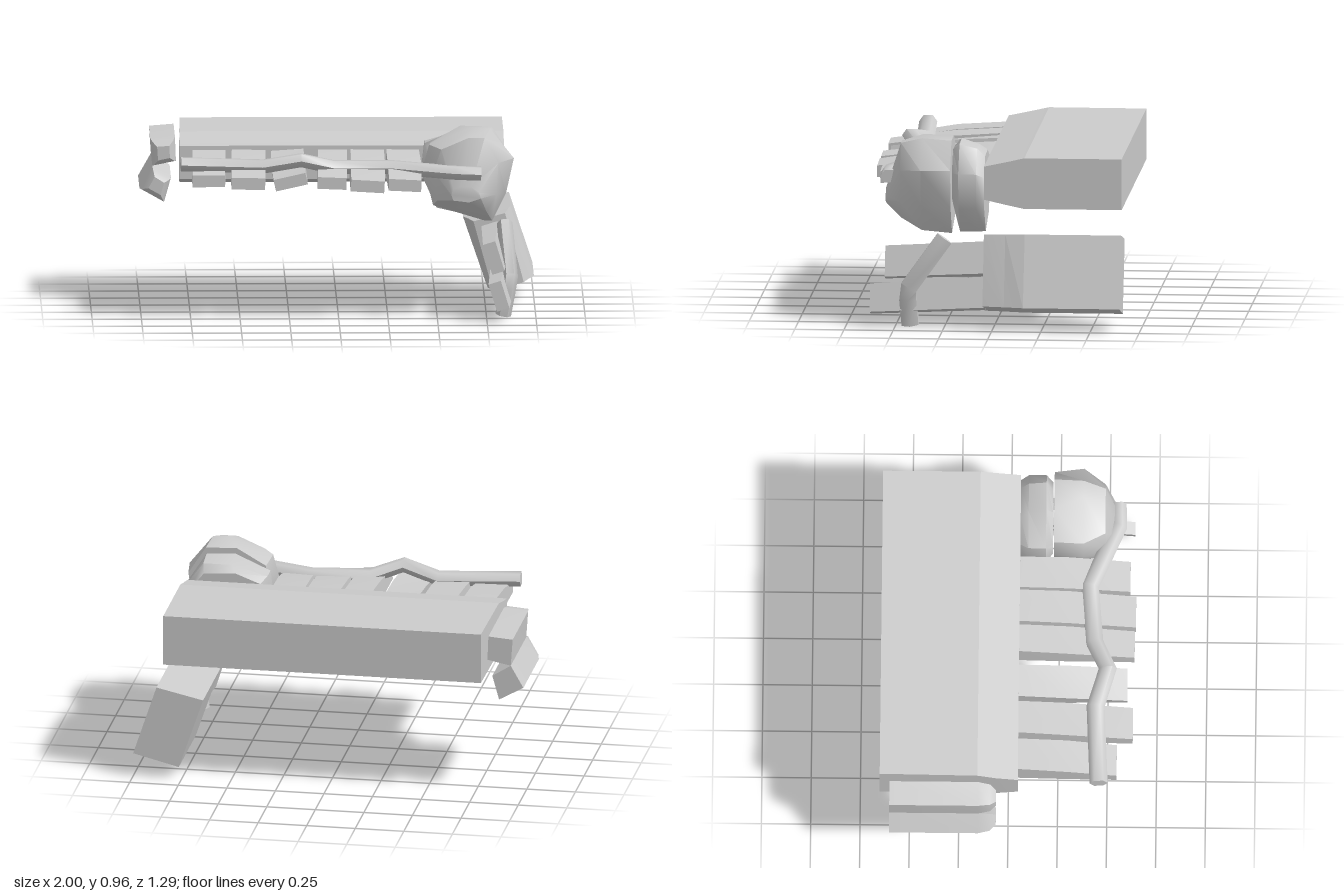
import * as THREE from 'three';
import { toCreasedNormals } from 'three/addons/utils/BufferGeometryUtils.js';

const V = (x, y, z) => new THREE.Vector3(x, y, z);
const material = new THREE.MeshStandardMaterial({ color: 0xcccccc });

// Closed skin over matching rings; rings run counterclockwise about the direction of travel
function loft(rings, crease) {
  const out = [];
  const tri = (...points) => points.forEach(p => out.push(p.x, p.y, p.z));
  const n = rings[0].length, end = rings[rings.length - 1];
  for (let i = 0; i < rings.length - 1; i++) {
    for (let j = 0; j < n; j++) {
      const k = (j + 1) % n, a = rings[i], b = rings[i + 1];
      tri(a[j], a[k], b[k]);
      tri(a[j], b[k], b[j]);
    }
  }
  for (let j = 1; j < n - 1; j++) {
    tri(rings[0][0], rings[0][j + 1], rings[0][j]);
    tri(end[0], end[j], end[j + 1]);
  }
  const geometry = new THREE.BufferGeometry();
  geometry.setAttribute('position', new THREE.Float32BufferAttribute(out, 3));
  return toCreasedNormals(geometry, crease);
}

// Outline in the front plane placed at a depth z
const outline = (z, points) => points.map(([x, y]) => V(x, y, z));

// Tilted rectangle in the front plane
function rect(x, y, z, w, h, angle = 0) {
  const c = Math.cos(angle), s = Math.sin(angle);
  return [[-1, -1], [1, -1], [1, 1], [-1, 1]].map(([i, j]) => {
    const a = i * w / 2, b = j * h / 2;
    return V(x + a * c - b * s, y + a * s + b * c, z);
  });
}

// Six-sided rod that follows a bent path
function rod(path, ref, ru, rv) {
  const points = path.map(p => V(...p));
  return loft(points.map((p, i) => {
    const t = points[Math.min(i + 1, points.length - 1)].clone()
      .sub(points[Math.max(i - 1, 0)]).normalize();
    const u = t.clone().cross(ref).normalize(), v = t.clone().cross(u);
    return Array.from({ length: 6 }, (_, k) => {
      const a = (k + 0.5) * Math.PI / 3;
      return p.clone().addScaledVector(u, ru * Math.cos(a)).addScaledVector(v, rv * Math.sin(a));
    });
  }), 1.1);
}

export function createModel() {
  const group = new THREE.Group();
  const add = (name, geometry) => {
    const mesh = new THREE.Mesh(geometry, material);
    mesh.name = name;
    group.add(mesh);
  };

  // Wide slab, tapering toward its front edge
  add('mainSlab', loft([
    [-0.65, 0.605, 0.865, -0.79], [-0.155, 0.605, 0.865, -0.795],
    [-0.06, 0.625, 0.843, -0.8], [0.05, 0.65, 0.82, -0.8],
  ].map(([z, low, high, left]) =>
    outline(z, [[left, low], [0.845, low], [0.845, high], [left, high]])), 0.1));

  // Tilted block under the end of the slab
  const block = [[0.765, 0.06], [1.0, 0.12], [0.88, 0.48], [0.64, 0.425]];
  const front = [[0.79, 0.072], [0.945, 0.118], [0.85, 0.472], [0.69, 0.43]];
  const middle = block.map((p, i) => p.map((v, k) => v * 0.45 + front[i][k] * 0.55));
  add('tiltedBlock', loft([
    outline(-0.65, block), outline(-0.16, block),
    outline(-0.06, middle), outline(0.05, front),
  ], 0.1));

  // Pair of bars beside the other end
  const sideBars = {
    upperSideBar: [[-0.935, 0.69], [-0.815, 0.715], [-0.82, 0.84], [-0.945, 0.83]],
    lowerSideBar: [[-0.875, 0.505], [-0.84, 0.63], [-0.935, 0.69], [-1.0, 0.575]],
  };
  for (const [name, corners] of Object.entries(sideBars)) {
    const cx = corners.reduce((s, p) => s + p[0], 0) / 4;
    const cy = corners.reduce((s, p) => s + p[1], 0) / 4;
    const shrink = f => corners.map(([x, y]) => [cx + (x - cx) * f, cy + (y - cy) * f]);
    add(name, loft([
      outline(-0.6, corners), outline(-0.15, corners),
      outline(-0.09, shrink(0.85)), outline(-0.06, shrink(0.5)),
    ], 0.9));
  }

  // Row of slats: back x, front x, width, front y, front z, tilt
  [
    [-0.65, -0.66, 0.165, 0.71, 0.55, 0],
    [-0.45, -0.46, 0.17, 0.708, 0.63, -0.02],
    [-0.25, -0.245, 0.165, 0.712, 0.6, 0.22],
    [-0.025, -0.035, 0.145, 0.71, 0.635, -0.04],
    [0.15, 0.145, 0.17, 0.695, 0.64, -0.06],
    [0.33, 0.335, 0.165, 0.695, 0.61, -0.05],
  ].forEach(([x0, x1, w, y, z, tilt], i) => add(`slat${i + 1}`, loft([
    rect(x0, 0.735, 0.04, w, 0.13, tilt * 0.3),
    rect((x0 + x1) / 2, 0.73, 0.3, w * 1.03, 0.105, tilt * 0.6),
    rect(x1, y, z, w, 0.06, tilt),
  ], 0.9)));

  // Two sticks running out of the tilted block
  add('upperStick', loft([
    rect(0.795, 0.34, 0.04, 0.085, 0.165, 0.3), rect(0.785, 0.315, 0.555, 0.065, 0.16, 0.3),
  ], 0.9));
  add('lowerStick', loft([
    rect(0.845, 0.17, 0.04, 0.085, 0.16, 0.3), rect(0.81, 0.13, 0.63, 0.065, 0.145, 0.3),
  ], 0.9));

  // Bent rods lying across the slats and the sticks
  add('longRod', rod([
    [-0.8, 0.785, 0.46], [-0.38, 0.77, 0.44], [-0.19, 0.81, 0.5], [-0.03, 0.765, 0.43],
    [0.27, 0.76, 0.405], [0.6, 0.75, 0.545], [0.72, 0.745, 0.54],
  ], V(0, 0, 1), 0.038, 0.046));
  add('shortRod', rod([
    [0.845, 0.45, 0.25], [0.87, 0.2, 0.43], [0.86, 0.14, 0.435], [0.835, 0.005, 0.425],
  ], V(1, 0, 0), 0.05, 0.04));

  // Pair of faceted lumps at the corner
  add('rearLump', loft([
    outline(0.05, [[0.83, 0.6], [0.84, 0.76], [0.76, 0.86], [0.6, 0.87],
      [0.47, 0.82], [0.44, 0.7], [0.51, 0.54], [0.72, 0.47]]),
    outline(0.09, [[0.84, 0.6], [0.86, 0.78], [0.77, 0.9], [0.62, 0.9],
      [0.44, 0.85], [0.43, 0.7], [0.5, 0.52], [0.73, 0.467]]),
    outline(0.18, [[0.84, 0.6], [0.86, 0.78], [0.77, 0.92], [0.62, 0.93],
      [0.44, 0.85], [0.42, 0.7], [0.5, 0.52], [0.73, 0.467]]),
    outline(0.215, [[0.81, 0.65], [0.82, 0.78], [0.74, 0.89], [0.62, 0.89],
      [0.47, 0.82], [0.46, 0.72], [0.53, 0.62], [0.72, 0.6]]),
  ], 0.75));
  add('frontLump', loft([
    outline(0.22, [[0.84, 0.6], [0.87, 0.8], [0.78, 0.94], [0.62, 0.945],
      [0.47, 0.86], [0.46, 0.7], [0.51, 0.53], [0.74, 0.46]]),
    outline(0.37, [[0.85, 0.62], [0.89, 0.8], [0.77, 0.95], [0.68, 0.957],
      [0.46, 0.87], [0.43, 0.76], [0.48, 0.56], [0.78, 0.48]]),
    outline(0.48, [[0.8, 0.63], [0.81, 0.79], [0.74, 0.92], [0.66, 0.92],
      [0.52, 0.86], [0.48, 0.75], [0.5, 0.6], [0.75, 0.54]]),
    outline(0.56, [[0.72, 0.62], [0.71, 0.65], [0.67, 0.68], [0.62, 0.68],
      [0.58, 0.67], [0.57, 0.64], [0.58, 0.61], [0.66, 0.6]]),
  ], 0.75));

  return group;
}
